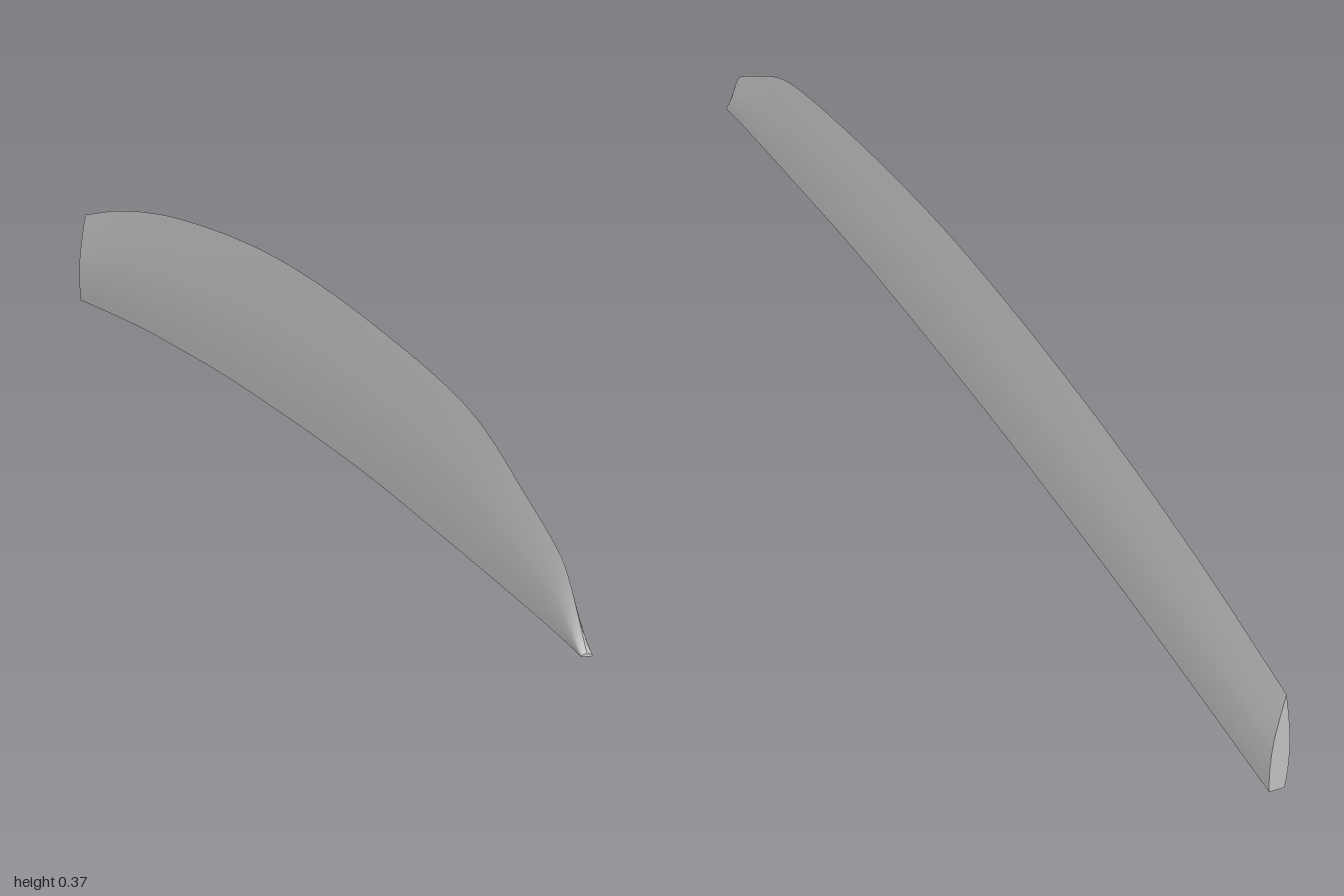
import * as THREE from 'three';

const STEPS = 52;

// Blade stations, tip to root: z, spine height, cutting edge height
const profile = new THREE.CatmullRomCurve3([
  [1, 0, 0.004], [0.95, 0.009, 0.083], [0.91, 0.016, 0.115], [0.84, 0.027, 0.153],
  [0.72, 0.045, 0.215], [0.6, 0.062, 0.252], [0.4, 0.09, 0.292], [0.2, 0.112, 0.325],
  [0, 0.13, 0.349], [-0.2, 0.146, 0.362], [-0.42, 0.158, 0.367], [-0.6, 0.166, 0.364],
  [-0.8, 0.17, 0.351], [-1, 0.172, 0.327],
].map((p) => new THREE.Vector3(...p)), false, 'catmullrom', 0.5);

// Half section: width factor and height fraction from spine to edge
const half = [[1, 0], [1.15, 0.12], [1.22, 0.25], [1.18, 0.4], [1.04, 0.55], [0.58, 0.77], [0, 1]];
const right = half;
const left = half.map(([w, h]) => [-w, h]).reverse();
const spine = [[-1, 0], [1, 0]];

function point(step, [w, h]) {
  const { x: z, y: low, z: high } = profile.getPoint(step / STEPS);
  const width = THREE.MathUtils.lerp(0.0103, 0.006, (z + 1) / 2);
  return [w * width, low + h * (high - low), z];
}

function build(positions, index) {
  const geometry = new THREE.BufferGeometry();
  geometry.setAttribute('position', new THREE.Float32BufferAttribute(positions, 3));
  geometry.setIndex(index);
  geometry.computeVertexNormals();
  return geometry;
}

// Surface swept along the blade from one run of section points
function strip(run) {
  const positions = [], index = [], n = run.length;
  for (let i = 0; i <= STEPS; i++) {
    for (const p of run) positions.push(...point(i, p));
    if (i === STEPS) break;
    for (let j = 0; j < n - 1; j++) {
      const a = i * n + j, b = a + n;
      index.push(a, b, b + 1, a, b + 1, a + 1);
    }
  }
  return build(positions, index);
}

// Flat end closing the section
function cap(step, facesBack) {
  const loop = [...right, ...left.slice(1)], index = [];
  for (let j = 1; j < loop.length - 1; j++) {
    index.push(0, ...(facesBack ? [j + 1, j] : [j, j + 1]));
  }
  return build(loop.flatMap((p) => point(step, p)), index);
}

export function createModel() {
  const steel = new THREE.MeshStandardMaterial({ color: 0xc0c0c0 });
  steel.name = 'steel';
  const blade = new THREE.Group();
  blade.name = 'blade';
  const parts = {
    leftFace: strip(right), // the +x side
    rightFace: strip(left),
    spine: strip(spine),
    tip: cap(0, false),
    root: cap(STEPS, true),
  };
  for (const [name, geometry] of Object.entries(parts)) {
    const mesh = new THREE.Mesh(geometry, steel);
    mesh.name = name;
    blade.add(mesh);
  }
  return blade;
}
